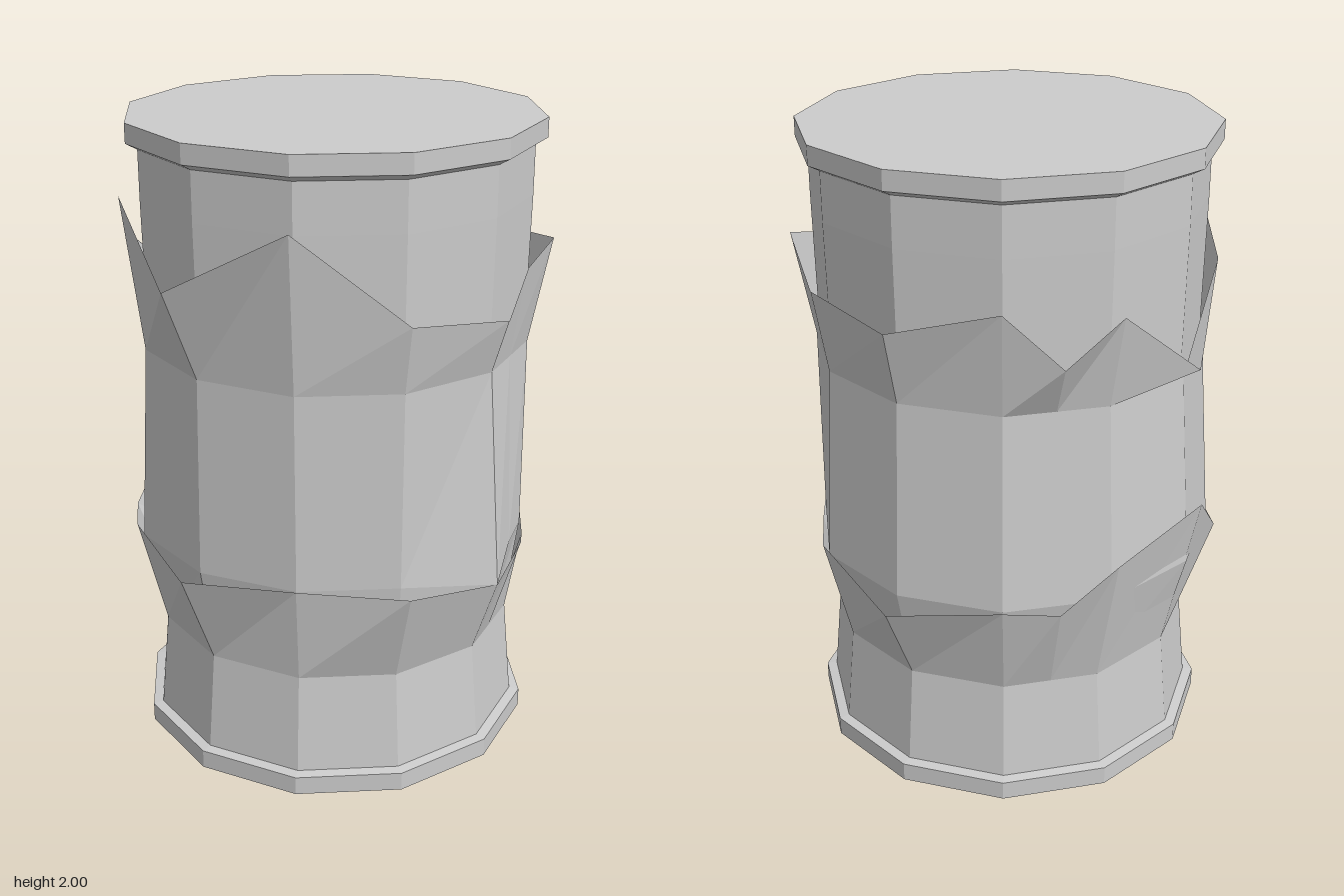
import * as THREE from 'three';

const metal = new THREE.MeshStandardMaterial({ color: 0xcccccc, flatShading: true, side: THREE.DoubleSide });

// Twelve corners, 30 degrees apart from the front towards +x, plus two extra tear points
const corners = [0, 1, 2, 2.5, 3, 4, 5, 6, 6.5, 7, 8, 9, 10, 11];

// Regular ring: half-way corners sit on the flat of the twelve-sided outline
const ring = (r, y) => corners.map((k) => [k % 1 ? r * Math.cos(Math.PI / 12) : r, y]);

// Faceted skin through rings of [radius, height], listed from bottom to top
function skin(name, rings) {
  const n = corners.length;
  const pos = [];
  const index = [];
  for (const points of rings) {
    points.forEach(([r, y], i) => {
      const a = corners[i] * Math.PI / 6;
      pos.push(r * Math.sin(a), y, r * Math.cos(a));
    });
  }
  for (let j = 0; j < rings.length - 1; j++) {
    for (let i = 0; i < n; i++) {
      const a = j * n + i;
      const b = j * n + (i + 1) % n;
      index.push(a, b, b + n, a, b + n, a + n);
    }
  }
  const geo = new THREE.BufferGeometry();
  geo.setAttribute('position', new THREE.Float32BufferAttribute(pos, 3));
  geo.setIndex(index);
  const flat = geo.toNonIndexed();
  flat.computeVertexNormals();
  const mesh = new THREE.Mesh(flat, metal);
  mesh.name = name;
  return mesh;
}

function rim(name, profile) {
  const points = profile.map(([r, y]) => new THREE.Vector2(r, y));
  const mesh = new THREE.Mesh(new THREE.LatheGeometry(points, 12).toNonIndexed(), metal);
  mesh.geometry.computeVertexNormals();
  mesh.name = name;
  return mesh;
}

export function createModel() {
  const group = new THREE.Group();
  group.name = 'crumpledCan';

  // Closed rims at both ends
  group.add(rim('bottomRim', [[0, 0], [0.637, 0], [0.637, 0.06], [0.605, 0.065]]));
  group.add(rim('topRim', [[0.6, 1.92], [0.637, 1.94], [0.637, 2], [0, 2]]));

  // Upper wall behind the torn sleeve
  group.add(skin('upperWall', [ring(0.595, 1.3), ring(0.602, 1.77), ring(0.602, 1.93)]));

  // Base, pinched at the waist and flaring to a torn lip
  const lowerLip = [
    [0.605, 0.69], [0.68, 0.69], [0.66, 0.63], [0.65, 0.7], [0.62, 0.65], [0.66, 0.73], [0.7, 0.65],
    [0.65, 0.69], [0.66, 0.68], [0.68, 0.82], [0.69, 0.9], [0.68, 0.64], [0.66, 0.73], [0.7, 0.69],
  ];
  group.add(skin('lowerWall', [ring(0.605, 0.06), ring(0.575, 0.38), lowerLip]));

  // Middle sleeve: tucked into the base, ending in a ragged upper edge
  const tuck = [0.6, 0.6, 0.66, 0.61, 0.61, 0.64, 0.64, 0.64, 0.62, 0.645, 0.65, 0.65, 0.64, 0.62]
    .map((r, i) => [r, i === 2 ? 0.63 : 0.69]);
  const upperLip = [
    [0.655, 1.79], [0.65, 1.52], [0.66, 1.48], [0.63, 1.59], [0.67, 1.64], [0.65, 1.57], [0.66, 1.54],
    [0.65, 1.63], [0.67, 1.47], [0.67, 1.6], [0.66, 1.34], [0.64, 1.57], [0.665, 1.79], [0.73, 1.6],
  ];
  group.add(skin('middleSleeve', [ring(0.57, 0.39), tuck, ring(0.606, 1.31), upperLip]));

  return group;
}
